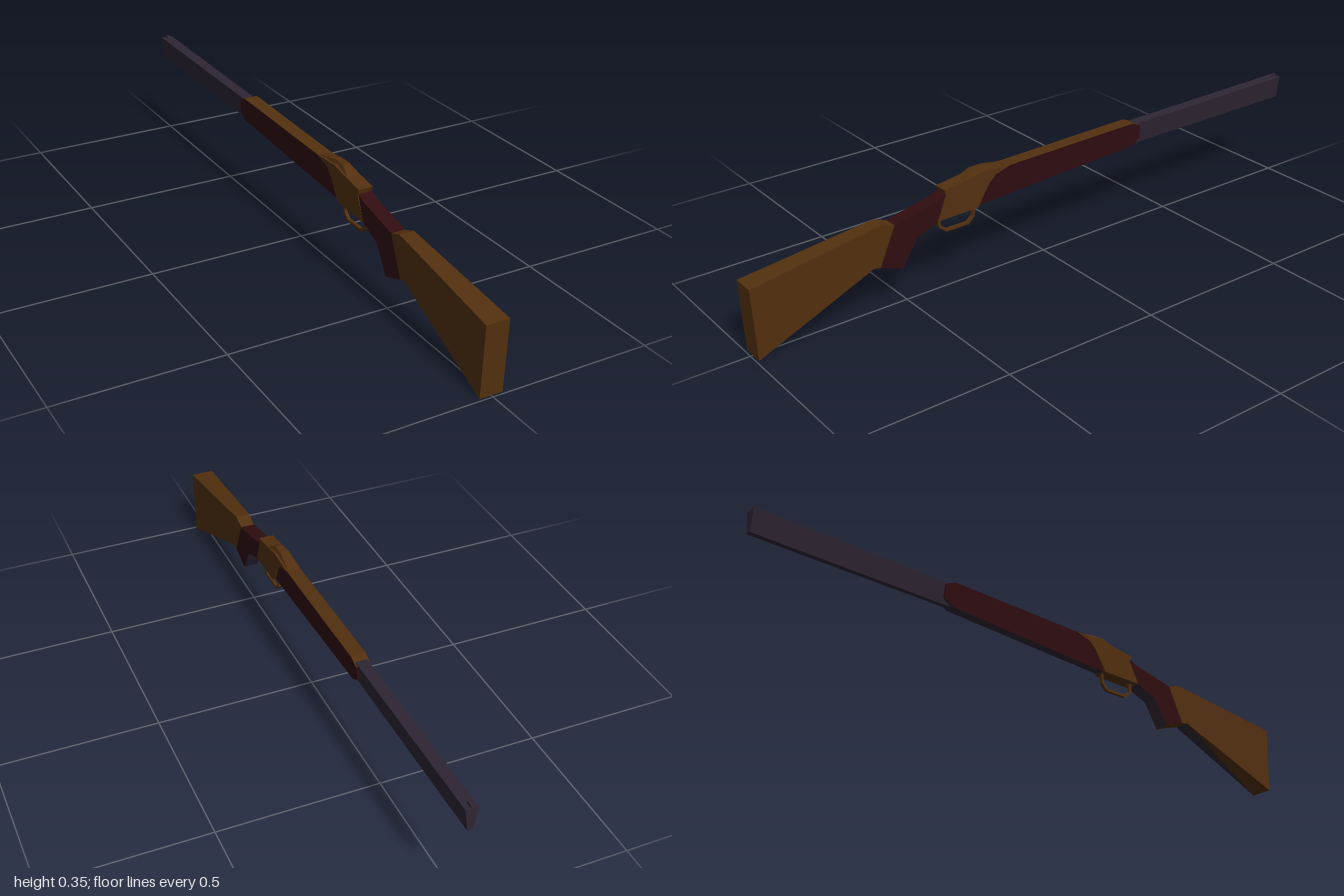
import * as THREE from 'three';

export function createModel() {
  const model = new THREE.Group();
  model.name = 'rifle';
  const mat = (name, color) => {
    const m = new THREE.MeshStandardMaterial({ color, flatShading: true });
    m.name = name;
    return m;
  };
  const walnut = mat('walnut brown', 0x52300f);
  const mahogany = mat('dark red wood', 0x300d10);
  const steel = mat('blued steel', 0x2e2633);

  // Side profile of [z, y] points, extruded across x to a half width given by a
  // rule; every face takes the material chosen from its normal and centre.
  function part(name, profile, halfWidth, pick) {
    const shape = new THREE.Shape(profile.map(([z, y]) => new THREE.Vector2(z, y)));
    let geo = new THREE.ExtrudeGeometry(shape, { depth: 2, bevelEnabled: false });
    geo.translate(0, 0, -1).rotateY(-Math.PI / 2);
    if (geo.index) geo = geo.toNonIndexed();
    const p = geo.attributes.position;
    for (let i = 0; i < p.count; i++) {
      p.setX(i, Math.sign(p.getX(i)) * halfWidth(p.getZ(i), p.getY(i)));
    }
    geo.computeVertexNormals();
    geo.clearGroups();
    const materials = [walnut, mahogany, steel];
    const tri = new THREE.Triangle(), n = new THREE.Vector3(), c = new THREE.Vector3();
    for (let i = 0; i < p.count; i += 3) {
      tri.setFromAttributeAndIndices(p, i, i + 1, i + 2);
      tri.getNormal(n);
      tri.getMidpoint(c);
      geo.addGroup(i, 3, materials.indexOf(pick(n, c)));
    }
    const mesh = new THREE.Mesh(geo, materials);
    mesh.name = name;
    model.add(mesh);
  }
  const lerp = THREE.MathUtils.mapLinear;

  // Shoulder stock, widening towards the butt, with a steel strip underneath
  part('shoulderStock',
    [[1, 0.22], [0.585, 0.277], [0.542, 0.262], [0.595, 0.145], [0.617, 0.15], [0.992, 0]],
    (z) => lerp(z, 0.585, 1, 0.023, 0.036),
    (n, c) => (n.y < -0.7 && c.x > 0 && c.z > 0.62 ? steel : walnut));

  // Wrist with the pistol grip
  part('grip',
    [[0.542, 0.262], [0.397, 0.294], [0.37, 0.306], [0.397, 0.23], [0.472, 0.2], [0.522, 0.118], [0.595, 0.145]],
    () => 0.0228,
    (n) => (n.y < -0.2 ? (n.z < 0 ? steel : walnut) : mahogany));

  // Receiver block
  part('receiver',
    [[0.372, 0.32], [0.295, 0.331], [0.24, 0.342], [0.14, 0.336], [0.195, 0.32], [0.22, 0.294],
      [0.258, 0.232], [0.4, 0.23], [0.366, 0.3]],
    () => 0.023, () => walnut);

  // Bolt cover rising above the receiver
  part('boltCover',
    [[0.305, 0.328], [0.263, 0.352], [0.22, 0.352], [0.14, 0.336], [0.2, 0.325]],
    (z, y) => lerp(y, 0.325, 0.352, 0.021, 0.011), () => walnut);

  // Fore stock: brown on top, dark red flanks, steel underneath
  part('foreStock',
    [[0.258, 0.234], [0.22, 0.294], [0.195, 0.32], [0.14, 0.336], [-0.335, 0.346], [-0.368, 0.332],
      [-0.37, 0.288], [-0.338, 0.267]],
    (z, y) => lerp(y, 0.234, 0.346, 0.014, 0.023),
    (n) => (n.y > 0.3 ? walnut : n.y < -0.6 ? steel : mahogany));

  // Barrel, wedge shaped in section
  part('barrel',
    [[-0.33, 0.338], [-1, 0.347], [-1, 0.273], [-0.33, 0.269]],
    (z, y) => lerp(y, 0.27, 0.345, 0.008, 0.0185), () => steel);

  // Front sight blade
  part('frontSight',
    [[-0.972, 0.345], [-0.984, 0.355], [-0.996, 0.355], [-0.998, 0.345]],
    () => 0.003, () => steel);

  // Trigger guard: bent flat strip, outer path followed by the inner path
  const outer = [[0.386, 0.235], [0.386, 0.2], [0.358, 0.178], [0.28, 0.178], [0.259, 0.198], [0.256, 0.235]];
  const inner = [[0.264, 0.235], [0.267, 0.202], [0.284, 0.186], [0.354, 0.186], [0.378, 0.204], [0.378, 0.235]];
  part('triggerGuard', [...outer, ...inner], () => 0.005, () => walnut);

  return model;
}
